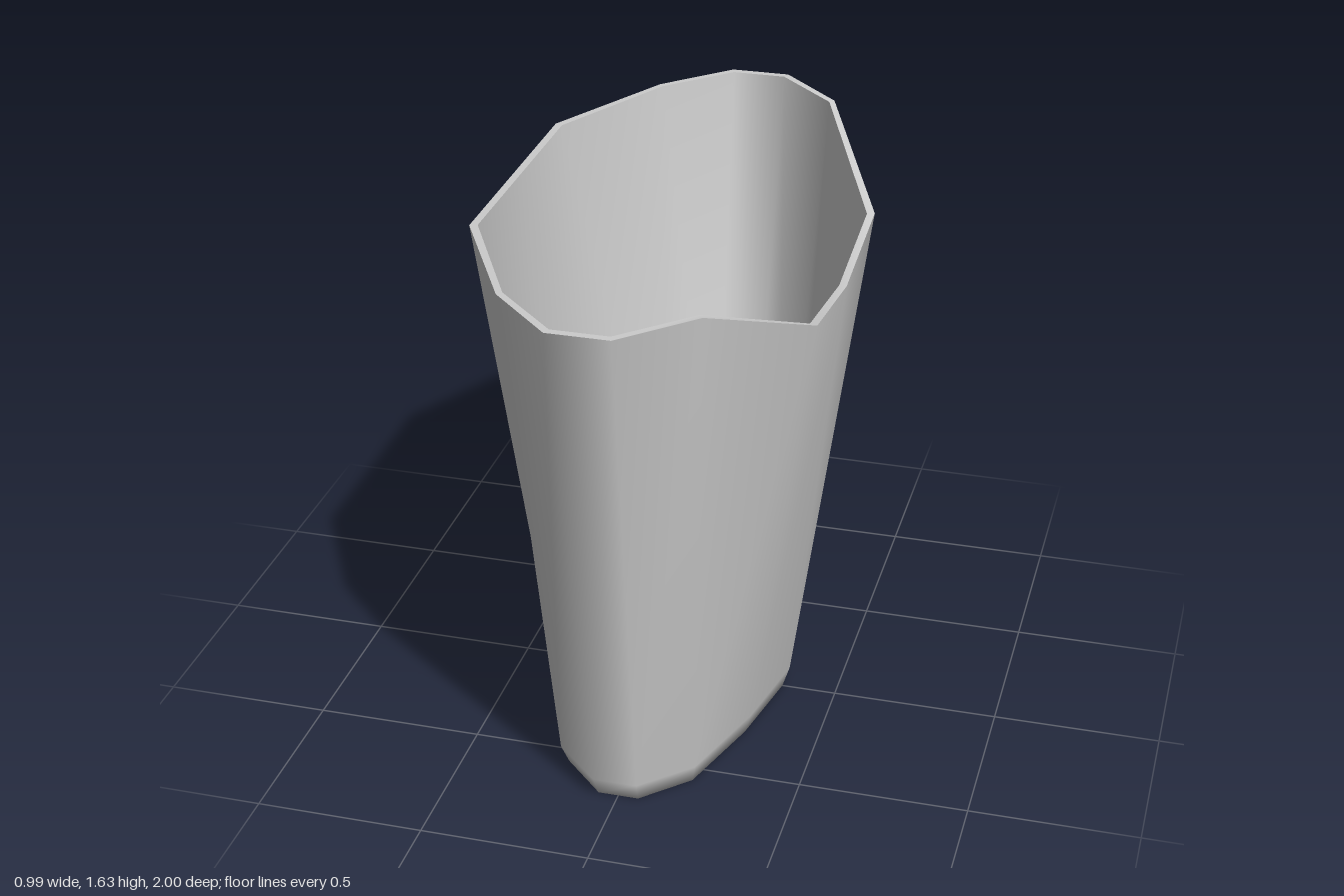
import * as THREE from 'three';

// Quarter outline [x, z] from the narrow end to the middle of the side,
// mirrored into a 14-point ring running from -z over +x to +z and back over -x.
function ring(quarter, height) {
  const right = [
    ...quarter.map(([x, z]) => [x, -z]),
    ...quarter.slice(0, -1).reverse(),
  ];
  const all = [...right, ...right.map(([x, z]) => [-x, -z])];
  return all.map(([x, z], i) => new THREE.Vector3(x, typeof height === 'number' ? height : height[i], z));
}

// Skin a list of rings; flip chooses the diagonal, cap closes the first or last ring.
function loft(rings, { flip = false, cap = null } = {}) {
  const n = rings[0].length;
  const points = rings.flat();
  const index = [];
  for (let r = 0; r < rings.length - 1; r++) {
    for (let i = 0; i < n; i++) {
      const j = (i + 1) % n;
      const a = r * n + i, b = r * n + j, c = a + n, d = b + n;
      if (flip) index.push(b, a, d, a, c, d);
      else index.push(b, a, c, c, d, b);
    }
  }
  if (cap) {
    const base = cap === 'first' ? 0 : (rings.length - 1) * n;
    const centre = points.length;
    points.push(new THREE.Vector3(0, points[base].y, 0));
    for (let i = 0; i < n; i++) {
      const a = base + i, b = base + (i + 1) % n;
      if (cap === 'first') index.push(centre, a, b);
      else index.push(centre, b, a);
    }
  }
  const geometry = new THREE.BufferGeometry().setFromPoints(points);
  geometry.setIndex(index);
  geometry.computeVertexNormals();
  return geometry;
}

export function createModel() {
  const group = new THREE.Group();
  group.name = 'scoopCarton';
  const material = new THREE.MeshStandardMaterial({ color: 0xcccccc });
  const add = (name, geometry) => {
    const mesh = new THREE.Mesh(geometry, material);
    mesh.name = name;
    group.add(mesh);
  };

  // Rim heights: level all round, with a dip along the +x side
  const rim = new Array(14).fill(1.635);
  rim[2] = rim[4] = 1.45;
  rim[3] = 1.39;

  const foot = ring([[0.06, 0.69], [0.19, 0.56], [0.28, 0.275], [0.333, 0]], 0);
  const bevel = ring([[0.065, 0.725], [0.205, 0.59], [0.3, 0.29], [0.355, 0]], 0.07);
  const outerTop = ring([[0.09, 1], [0.28, 0.81], [0.495, 0.4], [0.495, 0]], rim);
  const innerTop = ring([[0.082, 0.977], [0.267, 0.795], [0.473, 0.392], [0.473, 0]], rim);
  const innerFloor = ring([[0.06, 0.688], [0.188, 0.556], [0.278, 0.272], [0.325, 0]], 0.03);

  add('outerWall', loft([foot, bevel, outerTop], { cap: 'first' }));
  add('rim', loft([outerTop, innerTop]));
  add('innerWall', loft([innerTop, innerFloor], { flip: true, cap: 'last' }));
  return group;
}
